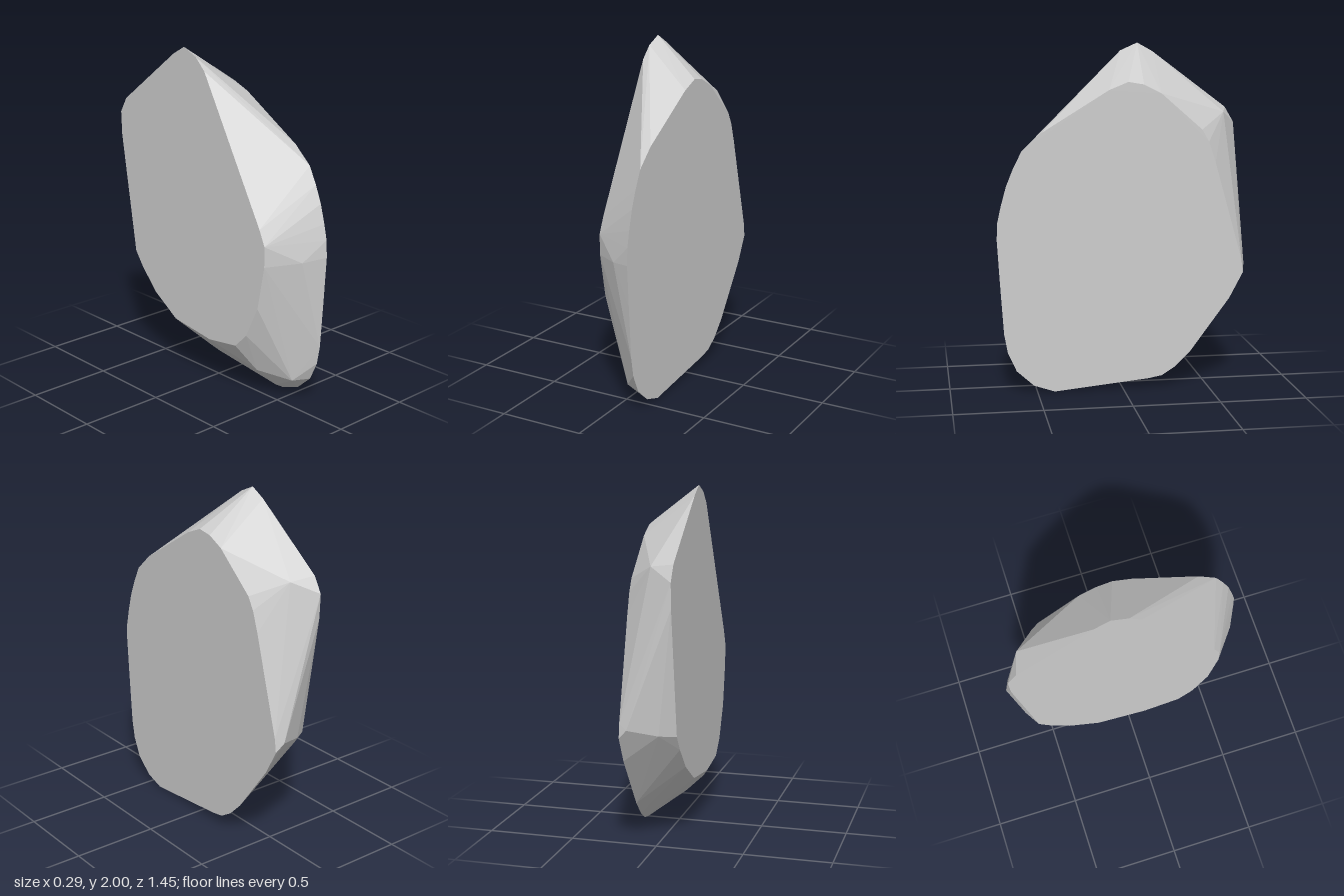
import * as THREE from 'three';
import { ConvexGeometry } from 'three/addons/geometries/ConvexGeometry.js';

// Half thickness of the slab
const HALF = 0.147;

// Outline of the left face, as [z, y]
const leftFace = [
  [0.40, 0], [0.52, 0.04], [0.62, 0.13], [0.67, 0.24], [0.69, 0.35], [0.71, 0.65],
  [0.725, 0.90], [0.72, 1.0], [0.70, 1.09], [0.67, 1.2], [0.63, 1.3], [0.58, 1.4],
  [0.47, 1.5], [0.08, 1.74], [-0.03, 1.785], [-0.12, 1.77], [-0.22, 1.72], [-0.46, 1.51],
  [-0.50, 1.44], [-0.54, 1.32], [-0.70, 0.75], [-0.71, 0.67], [-0.63, 0.52],
  [-0.40, 0.21], [-0.31, 0.12], [-0.23, 0.07], [-0.15, 0.055],
];

// Outline of the right face, as [z, y]
const rightFace = [
  [-0.13, 2], [-0.03, 1.955], [0.04, 1.885], [0.49, 1.07], [0.53, 0.98], [0.53, 0.86],
  [0.48, 0.60], [0.39, 0.41], [0.30, 0.32], [0.08, 0.29], [-0.225, 0.33], [-0.41, 0.45],
  [-0.53, 0.58], [-0.594, 0.67], [-0.707, 1.39], [-0.712, 1.53], [-0.66, 1.62], [-0.22, 1.95],
];

// Worn corners along the rim, as [x, y, z]
const rim = [
  [0.10, 0.72, -0.725], [-0.06, 0.68, -0.65], [-0.01, 1.60, -0.62],
  [0.07, 0.047, 0.42], [-0.05, 0.165, 0.38], [0.05, 0.13, 0.57],
  [0.02, 0.88, 0.66], [-0.05, 0.90, 0.605],
];

export function createModel() {
  const stone = new THREE.MeshStandardMaterial({ color: 0xcccccc });
  stone.name = 'stoneGrey';

  const points = [
    ...leftFace.map(([z, y]) => new THREE.Vector3(HALF, y, z)),
    ...rightFace.map(([z, y]) => new THREE.Vector3(-HALF, y, z)),
    ...rim.map((p) => new THREE.Vector3(...p)),
  ];

  // One convex faceted slab between the two flat faces
  const slab = new THREE.Mesh(new ConvexGeometry(points), stone);
  slab.name = 'stoneSlab';

  const group = new THREE.Group();
  group.name = 'stone';
  group.add(slab);
  return group;
}
